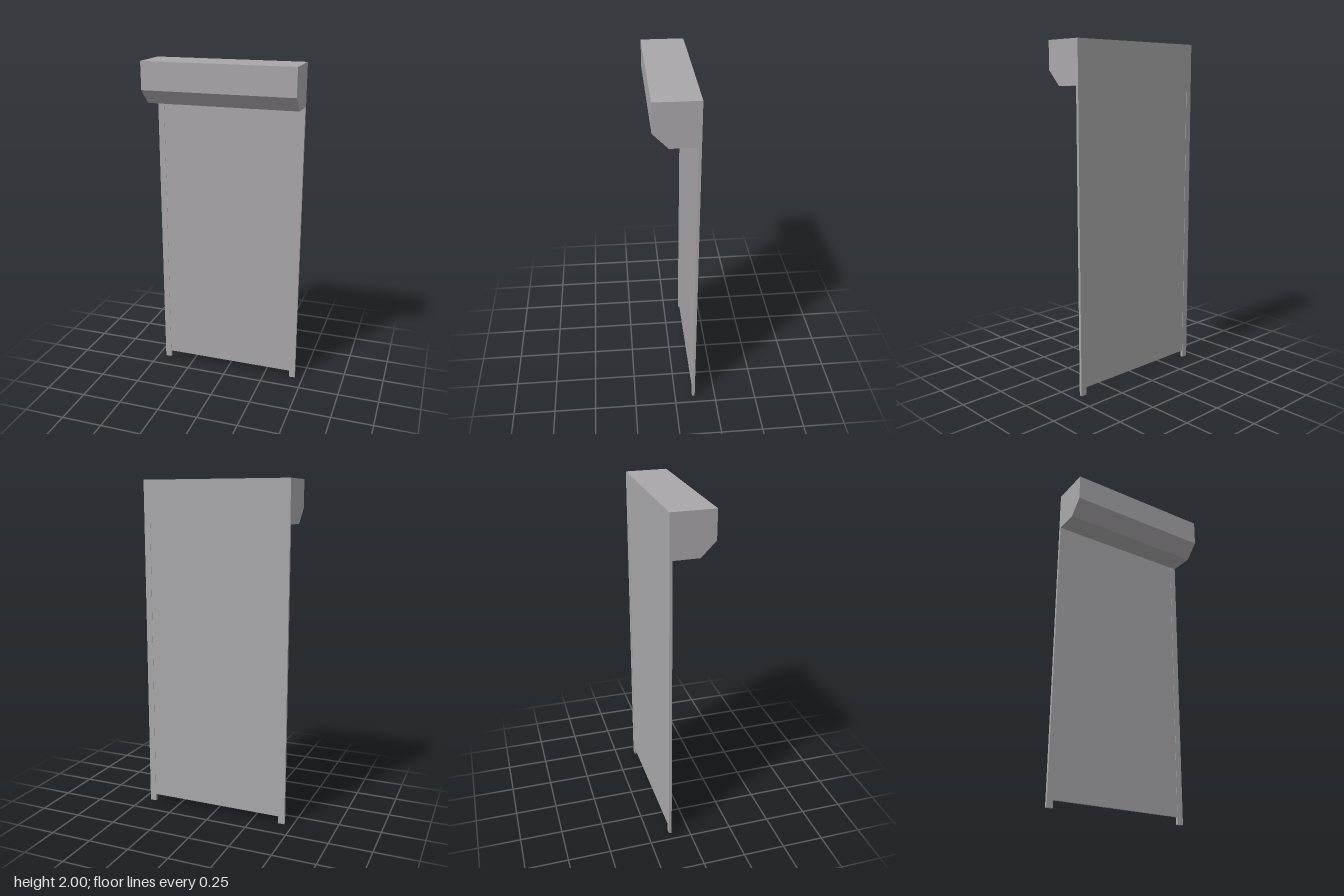
import * as THREE from 'three';

export function createModel() {
  const model = new THREE.Group();
  model.name = 'rollerShutter';
  const grey = new THREE.MeshStandardMaterial({ color: 0xa9a7aa });
  grey.name = 'shutter grey';

  const WIDTH = 0.9, BACK = -0.124, FRONT = 0.124, BOX_BOTTOM = 1.753;

  function add(name, geometry, x = 0, y = 0, z = 0) {
    const mesh = new THREE.Mesh(geometry, grey);
    mesh.name = name;
    mesh.position.set(x, y, z);
    model.add(mesh);
  }

  // Roller housing: side profile with a chamfered lower front edge
  const profile = new THREE.Shape([
    [BACK, BOX_BOTTOM], [0.04, BOX_BOTTOM], [FRONT, 1.838], [FRONT, 2], [BACK, 2],
  ].map(([z, y]) => new THREE.Vector2(-z, y)));
  const housing = new THREE.ExtrudeGeometry(profile, { depth: WIDTH, bevelEnabled: false });
  housing.translate(0, 0, -WIDTH / 2).rotateY(Math.PI / 2);
  add('rollerHousing', housing);

  // Guide rails down both sides
  const railWidth = 0.038, railDepth = 0.017;
  for (const side of [-1, 1]) {
    add(side > 0 ? 'leftGuideRail' : 'rightGuideRail',
      new THREE.BoxGeometry(railWidth, BOX_BOTTOM, railDepth),
      side * (WIDTH - railWidth) / 2, BOX_BOTTOM / 2, BACK + railDepth / 2);
  }

  // Shutter curtain, set slightly in from the rail faces and off the floor
  const curtainBottom = 0.043;
  add('shutterCurtain',
    new THREE.BoxGeometry(WIDTH - 2 * railWidth, BOX_BOTTOM - curtainBottom, railDepth - 0.004),
    0, (BOX_BOTTOM + curtainBottom) / 2, BACK + railDepth / 2);

  return model;
}
